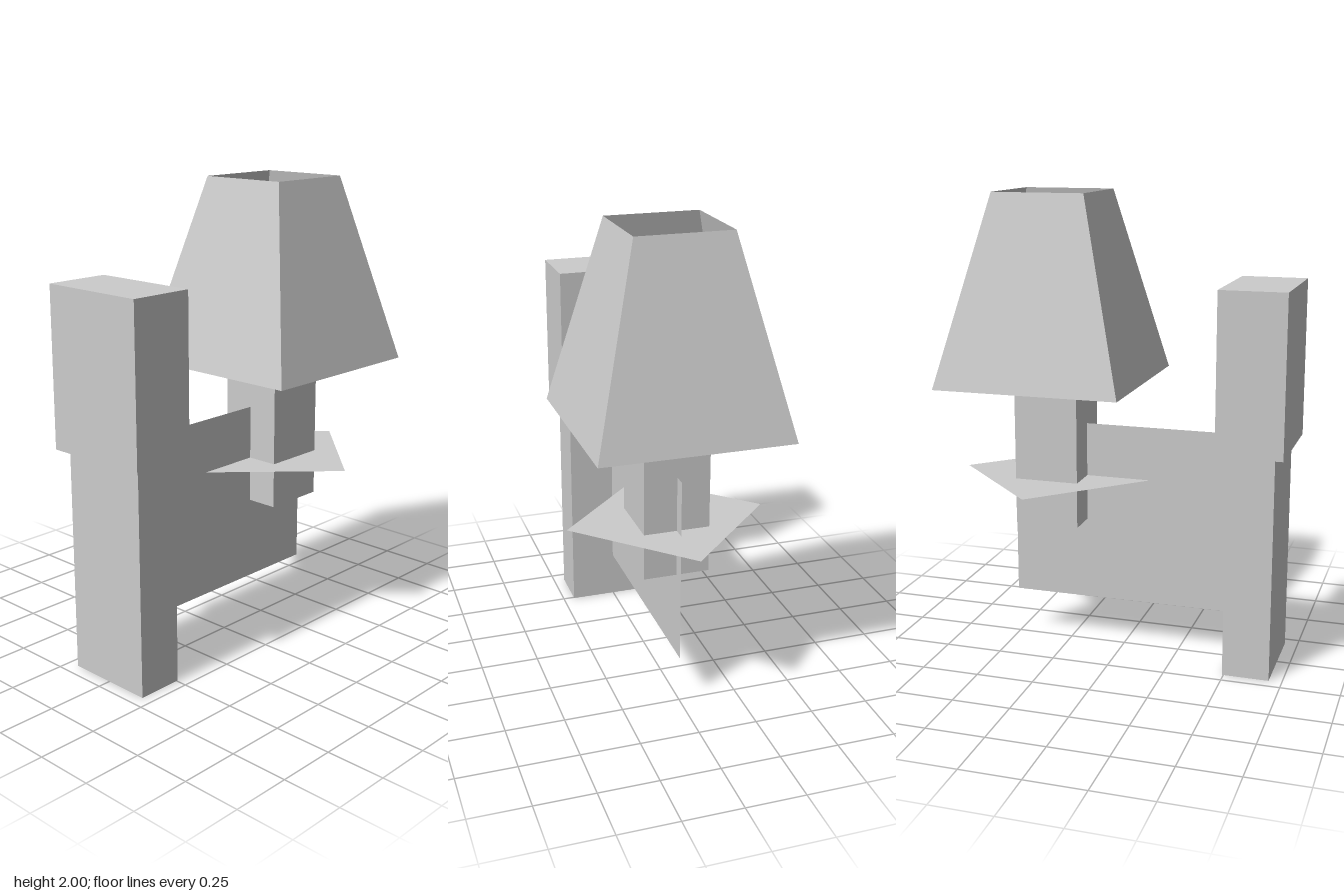
import * as THREE from 'three';

export function createModel() {
  const group = new THREE.Group();
  const grey = new THREE.MeshStandardMaterial({ color: 0xcccccc, side: THREE.DoubleSide });
  grey.name = 'plainGrey';
  const lampZ = -0.31;

  const add = (name, geometry, x, y, z) => {
    const mesh = new THREE.Mesh(geometry, grey);
    mesh.name = name;
    mesh.position.set(x, y, z);
    group.add(mesh);
    return mesh;
  };
  // Box given by its width, depth, bottom, top and centre in z
  const box = (name, w, d, y0, y1, z) =>
    add(name, new THREE.BoxGeometry(w, y1 - y0, d), 0, (y0 + y1) / 2, z);

  // Wall post with its wider head
  box('post', 0.4, 0.2, 0, 0.965, 0.594);
  box('postHead', 0.48, 0.28, 0.965, 1.64, 0.594);

  // Flat bracket joining post and lamp
  add('bracket', new THREE.PlaneGeometry(1, 0.8), 0, 0.605, -0.005).rotation.y = Math.PI / 2;

  // Lamp stem, with a flat square collar turned by 45 degrees
  box('stem', 0.28, 0.28, 0.57, 1.4, lampZ);
  const collar = new THREE.PlaneGeometry(0.6, 0.6).rotateZ(Math.PI / 4).rotateX(-Math.PI / 2);
  add('collar', collar, 0, 0.77, lampZ);

  // Bulb inside the shade
  box('bulb', 0.4, 0.4, 1.4, 1.79, lampZ);

  // Four-sided shade, open above and below
  const shade = new THREE.CylinderGeometry(0.2 * Math.SQRT2, 0.4 * Math.SQRT2, 0.8, 4, 1, true)
    .rotateY(Math.PI / 4).toNonIndexed();
  shade.computeVertexNormals();
  add('shade', shade, 0, 1.6, lampZ);

  return group;
}
